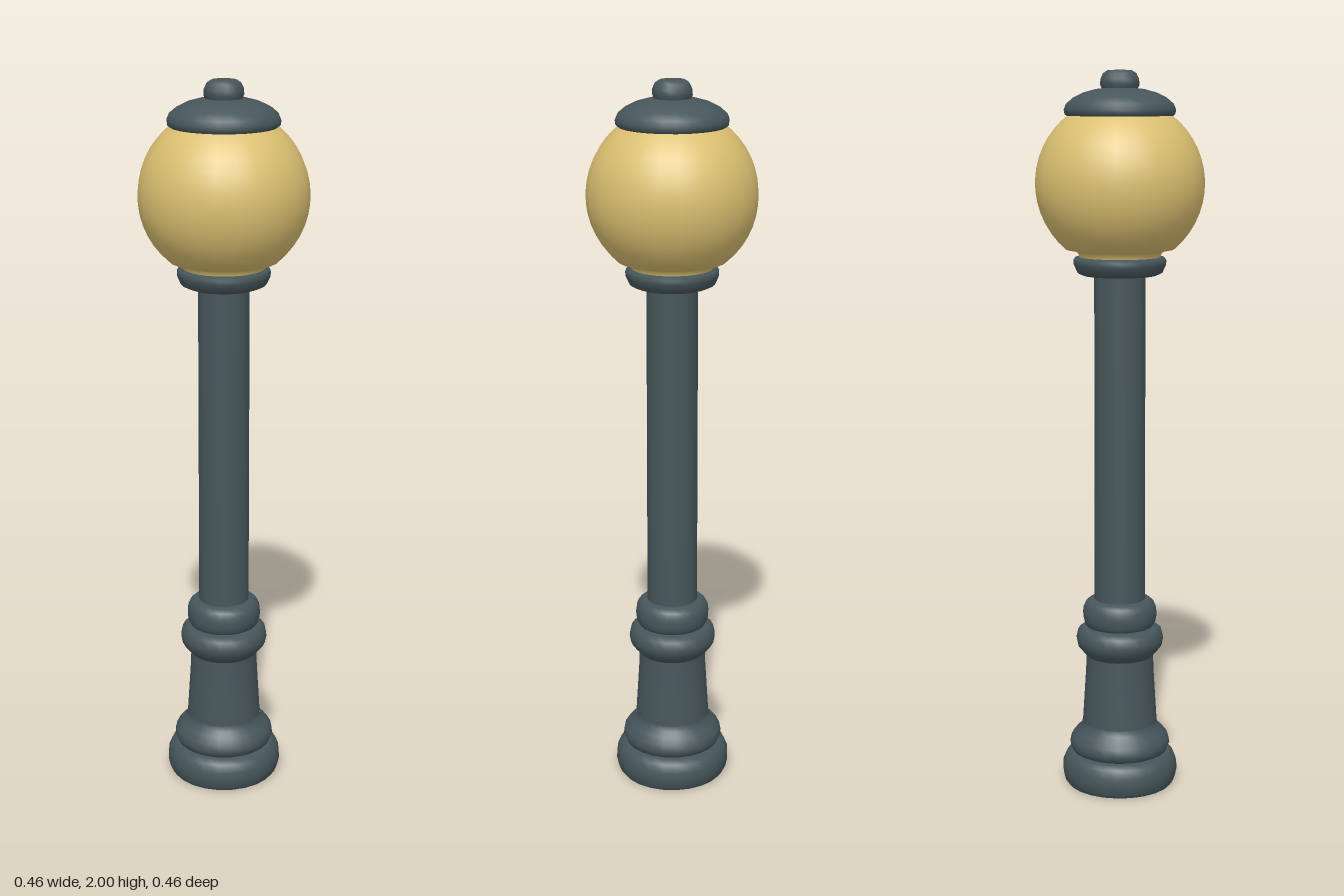
import * as THREE from 'three';

const SIDES = 24;

export function createModel() {
  const model = new THREE.Group();
  model.name = 'streetLamp';

  const iron = new THREE.MeshStandardMaterial({ color: 0x46565b });
  iron.name = 'dark iron';
  const glass = new THREE.MeshStandardMaterial({ color: 0xdbc071 });
  glass.name = 'warm glass';

  // Turned part from [radius, height] pairs listed bottom to top
  function turned(name, points, material = iron, sides = SIDES) {
    const profile = points.map(([r, y]) => new THREE.Vector2(r, y));
    const mesh = new THREE.Mesh(new THREE.LatheGeometry(profile, sides), material);
    mesh.name = name;
    model.add(mesh);
    return mesh;
  }

  // Rounded ring that bulges from the inner radius to the outer radius
  function ring(name, inner, outer, y0, y1, topInner = inner) {
    const points = [];
    const steps = 8;
    for (let i = 0; i <= steps; i++) {
      const a = (i / steps) * Math.PI;
      const rim = i <= steps / 2 ? inner : topInner;
      points.push([
        rim + (outer - rim) * Math.pow(Math.sin(a), 0.7),
        (y0 + y1) / 2 - (Math.cos(a) * (y1 - y0)) / 2,
      ]);
    }
    return turned(name, points);
  }

  // Foot and its underside
  const underside = new THREE.Mesh(new THREE.CircleGeometry(0.15, SIDES), iron);
  underside.name = 'underside';
  underside.rotation.x = Math.PI / 2;
  model.add(underside);
  turned('foot', [
    [0.15, 0], [0.158, 0.012], [0.163, 0.035], [0.162, 0.06],
    [0.153, 0.082], [0.138, 0.092], [0.1, 0.095],
  ]);

  // Pedestal with stacked mouldings
  turned('lowerMoulding', [
    [0.12, 0.09], [0.135, 0.097], [0.142, 0.115], [0.138, 0.135],
    [0.124, 0.153], [0.11, 0.165], [0.106, 0.18],
  ]);
  turned('pedestal', [[0.106, 0.17], [0.101, 0.25], [0.096, 0.33], [0.094, 0.385]]);
  turned('upperMoulding', [
    [0.094, 0.375], [0.105, 0.388], [0.119, 0.405], [0.123, 0.425],
    [0.118, 0.448], [0.105, 0.458], [0.07, 0.462],
  ]);
  ring('neckMoulding', 0.085, 0.104, 0.46, 0.54, 0.068);

  // Shaft
  turned('shaft', [[0.071, 0.5], [0.07, 1.46]]);

  // Collar that carries the globe
  turned('collar', [
    [0.06, 1.449], [0.1, 1.451], [0.116, 1.458], [0.126, 1.48],
    [0.127, 1.492], [0.122, 1.5], [0.09, 1.504],
  ]);

  // Globe, slightly flared at its lower lip
  const globe = [[0.11, 1.497], [0.112, 1.507], [0.12, 1.517]];
  for (let i = 0; i <= 14; i++) {
    const a = THREE.MathUtils.lerp(-0.87, 0.95, i / 14);
    globe.push([0.23 * Math.cos(a), 1.698 + 0.23 * Math.sin(a)]);
  }
  turned('globe', globe, glass);

  // Cap
  turned('capUnderside', [[0.001, 1.877], [0.142, 1.877]]);
  turned('cap', [
    [0.142, 1.877], [0.149, 1.883], [0.151, 1.895], [0.145, 1.91],
    [0.125, 1.927], [0.098, 1.94], [0.065, 1.949], [0.045, 1.951],
  ]);

  // Finial
  turned('finial', [
    [0.047, 1.945], [0.054, 1.96], [0.053, 1.975], [0.046, 1.99],
    [0.034, 1.998], [0, 2],
  ], iron, 12);

  return model;
}
